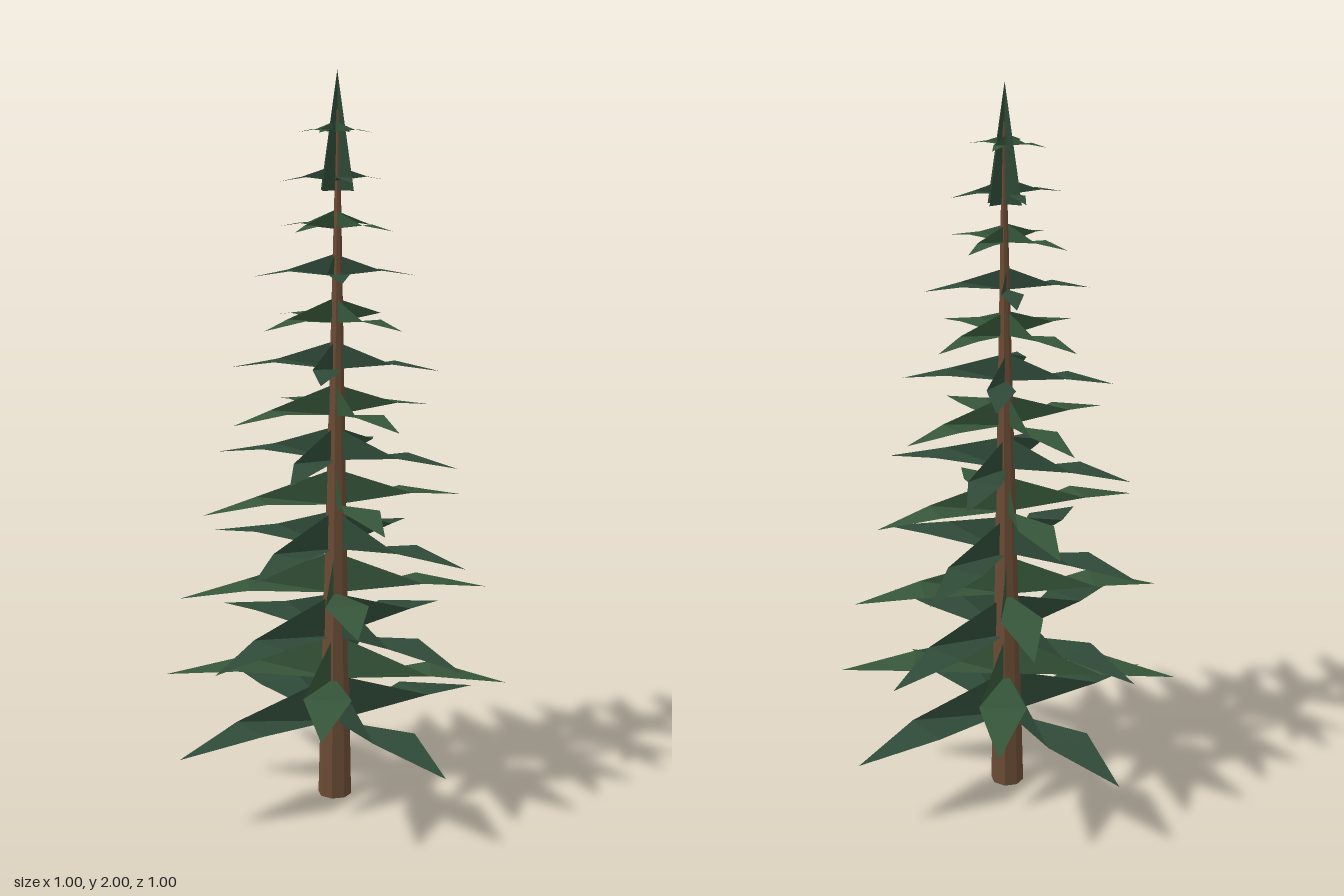
import * as THREE from 'three';

const foliage = [0x2f4a38, 0x36563a].map((color) =>
  new THREE.MeshStandardMaterial({ color, flatShading: true, side: THREE.DoubleSide }));
const bark = new THREE.MeshStandardMaterial({ color: 0x6b4c35, flatShading: true });

function surface(points, index) {
  const g = new THREE.BufferGeometry();
  g.setAttribute('position', new THREE.Float32BufferAttribute(points.flat(), 3));
  g.setIndex(index);
  g.computeVertexNormals();
  return g;
}

// Branch along +x: upright at the root, twisting flat at the shoulders, then a drooping point
function branchGeometry(r) {
  const w = 0.135 * r;
  const shoulder = 0.56 * r;
  return surface([
    [0, 0, 0], [0, 2 * w, 0],
    [shoulder, 0.55 * w, w], [shoulder, 0.55 * w, -w],
    [r, 0, 0],
  ], [0, 1, 2, 0, 2, 3, 3, 2, 4]);
}

export function createModel() {
  const tree = new THREE.Group();
  tree.name = 'coniferTree';

  // Tapered trunk, leaning very slightly towards its top
  const height = 1.9;
  const trunkGeometry = new THREE.CylinderGeometry(0.004, 0.047, height, 8, 6);
  trunkGeometry.translate(0, height / 2, 0);
  const p = trunkGeometry.attributes.position;
  for (let i = 0; i < p.count; i++) {
    const t = p.getY(i) / height;
    p.setX(i, p.getX(i) + 0.008 * t);
    p.setZ(i, p.getZ(i) + 0.004 * t);
  }
  trunkGeometry.computeVertexNormals();
  const trunk = new THREE.Mesh(trunkGeometry, bark);
  trunk.name = 'trunk';
  tree.add(trunk);

  // Whorls of four branches, each turned 39 degrees from the one below
  const reach = [0.5, 0.476, 0.452, 0.427, 0.402, 0.374, 0.344,
    0.313, 0.283, 0.25, 0.218, 0.182, 0.15, 0.107];
  reach.forEach((r, i) => {
    const whorl = new THREE.Group();
    whorl.name = `branchWhorl${i + 1}`;
    whorl.position.y = 0.215 + 0.125 * i;
    const geometry = branchGeometry(r);
    for (let k = 0; k < 4; k++) {
      const branch = new THREE.Mesh(geometry, foliage[i % 2]);
      branch.name = 'branch';
      branch.rotation.y = -THREE.MathUtils.degToRad(39 * i + 90 * k);
      whorl.add(branch);
    }
    tree.add(whorl);
  });

  // Crown of three crossed upright blades
  const crown = new THREE.Group();
  crown.name = 'crown';
  crown.position.set(0.006, 0, 0.003);
  const blade = surface([[-0.048, 1.69, 0], [0.048, 1.69, 0], [0, 2, 0]], [0, 1, 2]);
  for (let k = 0; k < 3; k++) {
    const mesh = new THREE.Mesh(blade, foliage[0]);
    mesh.name = 'crownBlade';
    mesh.rotation.y = (k * Math.PI) / 3;
    crown.add(mesh);
  }
  tree.add(crown);

  return tree;
}
